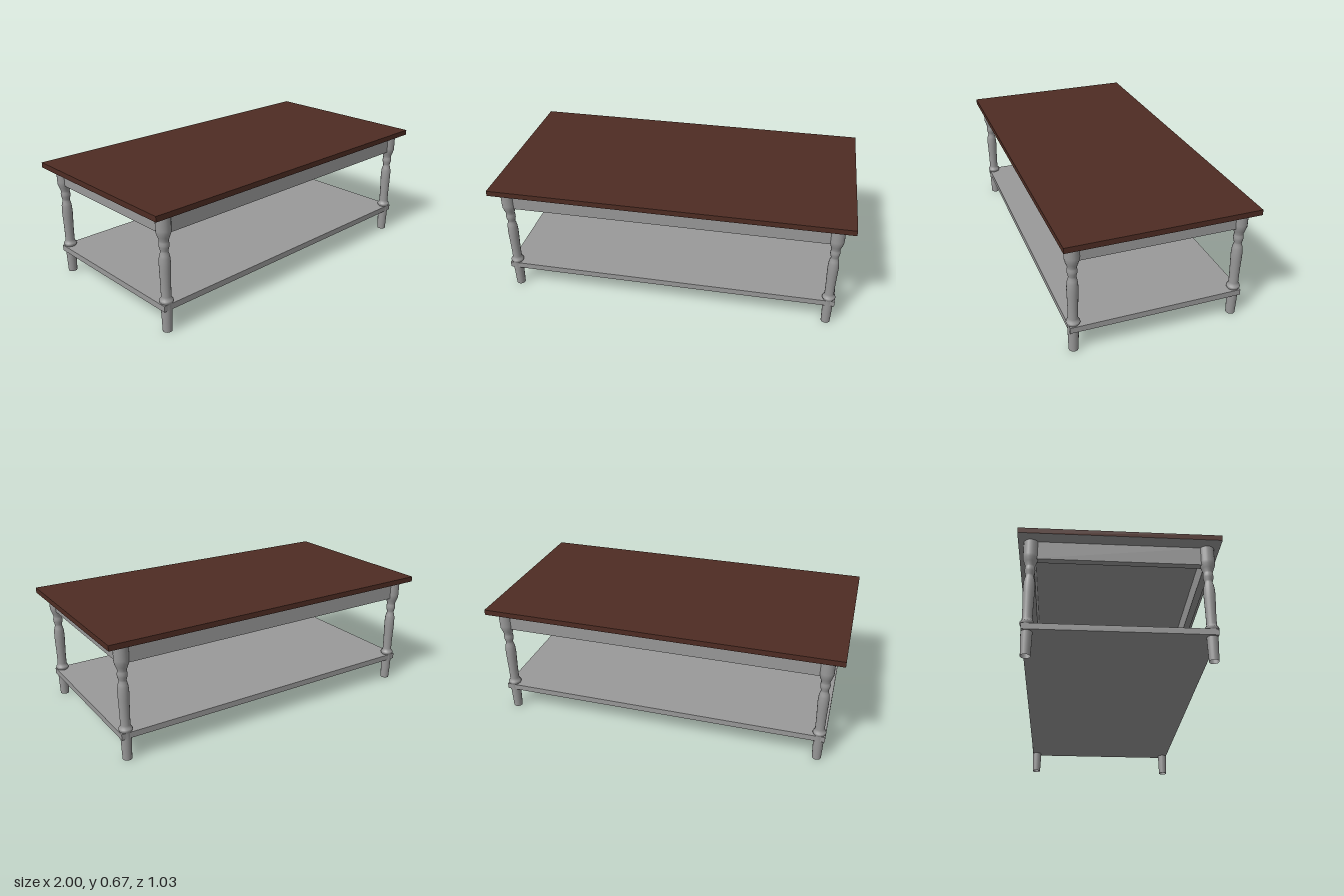
import * as THREE from 'three';

export function createModel() {
  const table = new THREE.Group();
  table.name = 'coffeeTable';

  const brown = new THREE.MeshStandardMaterial({ color: 0x4e2c23 });
  brown.name = 'dark brown wood';
  const grey = new THREE.MeshStandardMaterial({ color: 0x999999, side: THREE.DoubleSide });
  grey.name = 'grey paint';

  const legX = 0.91, legZ = 0.45;

  // A box given by its size, its centre and its lower edge
  function board(name, w, h, d, x, bottom, z, material) {
    const mesh = new THREE.Mesh(new THREE.BoxGeometry(w, h, d), material);
    mesh.name = name;
    mesh.position.set(x, bottom + h / 2, z);
    table.add(mesh);
  }

  // Table top: brown with a grey underside (box face order +x -x +y -y +z -z)
  board('tableTop', 2, 0.03, 1.034, 0, 0.642, 0, [brown, brown, brown, grey, brown, brown]);

  // Lower shelf
  board('shelf', 1.89, 0.033, 0.954, 0, 0.128, 0, grey);

  // Aprons between the legs
  for (const s of [1, -1]) {
    board(s > 0 ? 'frontApron' : 'backApron', legX * 2, 0.104, 0.036, 0, 0.539, s * legZ, grey);
    board(s > 0 ? 'leftApron' : 'rightApron', 0.036, 0.104, legZ * 2, s * legX, 0.539, 0, grey);
  }

  // Turned legs, radius and height from the foot up, open at the foot
  const profile = [
    [0.025, 0], [0.027, 0.06], [0.029, 0.13], [0.029, 0.16], [0.032, 0.163],
    [0.037, 0.173], [0.035, 0.181], [0.028, 0.188], [0.026, 0.2], [0.0265, 0.26],
    [0.029, 0.34], [0.03, 0.375], [0.028, 0.41], [0.025, 0.426], [0.02, 0.441],
    [0.021, 0.45], [0.026, 0.468], [0.027, 0.48], [0.025, 0.492], [0.024, 0.502],
    [0.031, 0.522], [0.038, 0.543], [0.039, 0.56], [0.039, 0.643],
  ].map(([r, y]) => new THREE.Vector2(r, y));
  const legGeometry = new THREE.LatheGeometry(profile, 20);
  for (const sx of [1, -1]) {
    for (const sz of [1, -1]) {
      const leg = new THREE.Mesh(legGeometry, grey);
      leg.name = (sz > 0 ? 'front' : 'back') + (sx > 0 ? 'Left' : 'Right') + 'Leg';
      leg.position.set(sx * legX, 0, sz * legZ);
      table.add(leg);
    }
  }

  return table;
}
